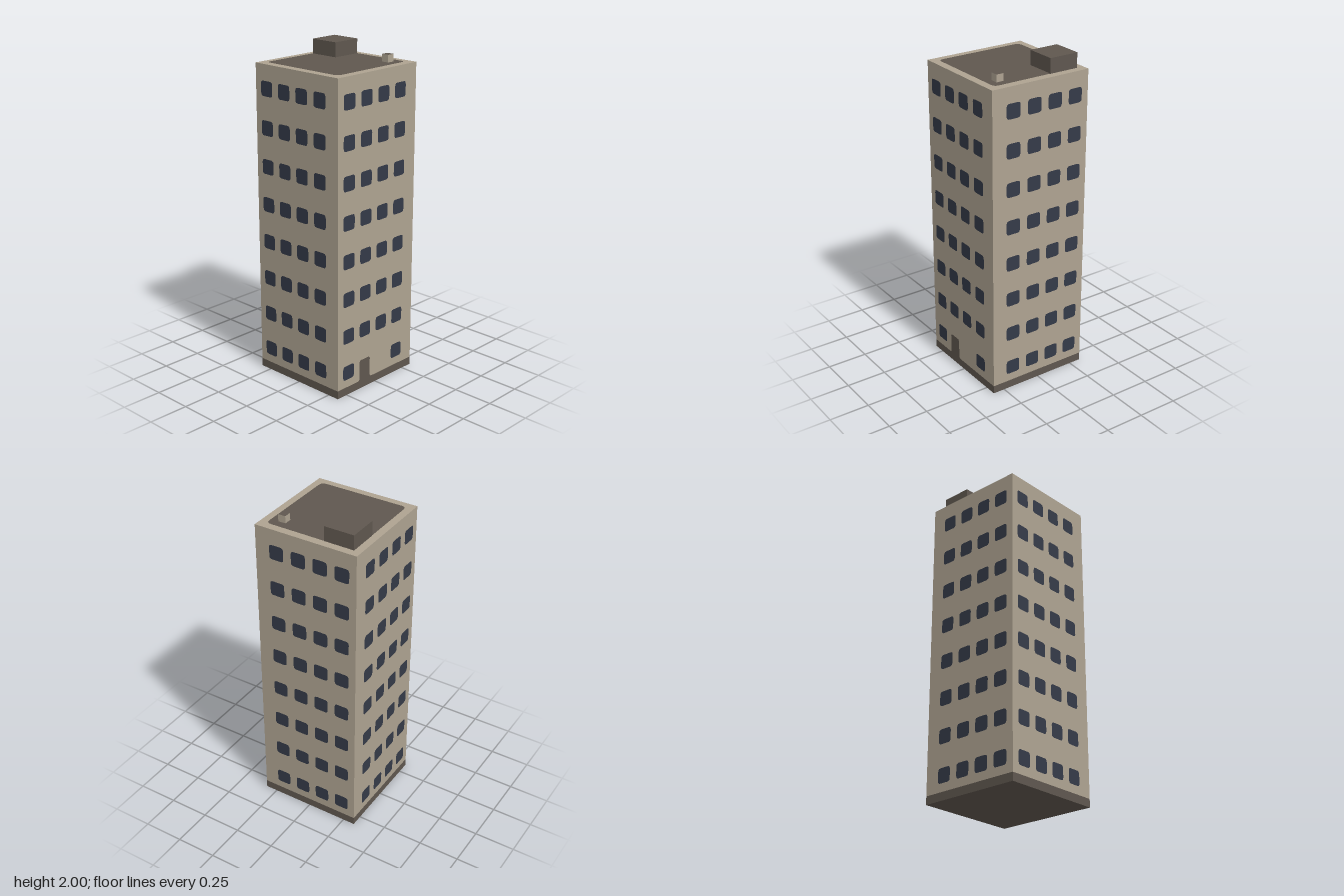
import * as THREE from 'three';

const HALF = 0.325, BASE = 0.05, TOP = 1.91, LIFT = 0.002;
const OFFSETS = [-0.235, -0.095, 0.045, 0.187];
const FLOORS = 8, FIRST = 0.145, STEP = 0.232;

const paint = (name, color) => {
  const m = new THREE.MeshStandardMaterial({ color });
  m.name = name;
  return m;
};

// Flat plate with small rounded corners, facing +z
function plate(w, h, r) {
  const x = w / 2, y = h / 2, s = new THREE.Shape();
  s.moveTo(-x + r, -y).lineTo(x - r, -y).quadraticCurveTo(x, -y, x, -y + r);
  s.lineTo(x, y - r).quadraticCurveTo(x, y, x - r, y);
  s.lineTo(-x + r, y).quadraticCurveTo(-x, y, -x, y - r);
  s.lineTo(-x, -y + r).quadraticCurveTo(-x, -y, -x + r, -y);
  return new THREE.ShapeGeometry(s, 3);
}

export function createModel() {
  const model = new THREE.Group();
  model.name = 'apartmentTower';
  const wall = paint('beigeWall', 0xaea391);
  const dark = paint('darkBrown', 0x5f574f);
  const glass = paint('navyGlass', 0x343a48);

  const add = (name, geometry, material, x, y, z, parent = model) => {
    const mesh = new THREE.Mesh(geometry, material);
    mesh.name = name;
    mesh.position.set(x, y, z);
    parent.add(mesh);
    return mesh;
  };
  const box = (name, w, h, d, material, x, bottom, z) =>
    add(name, new THREE.BoxGeometry(w, h, d), material, x, bottom + h / 2, z);

  // Plinth and tower
  box('plinth', HALF * 2, BASE, HALF * 2, dark, 0, 0, 0);
  box('walls', HALF * 2, TOP - BASE, HALF * 2, wall, 0, BASE, 0);

  // Windows on four sides; the front ground floor leaves room for the door
  const pane = plate(0.092, 0.09, 0.018);
  ['front', 'right', 'back', 'left'].forEach((side, i) => {
    const facade = new THREE.Group();
    facade.name = side + 'Windows';
    facade.rotation.y = i * Math.PI / 2;
    // Opposite sides share the same world offsets
    const flip = i === 1 || i === 2 ? -1 : 1;
    for (let floor = 0; floor < FLOORS; floor++) {
      OFFSETS.forEach((u, column) => {
        if (i === 0 && floor === 0 && (column === 1 || column === 2)) return;
        add('window', pane, glass, u * flip, FIRST + floor * STEP, HALF + LIFT, facade);
      });
    }
    model.add(facade);
  });

  // Entrance door with slightly flared foot
  const s = new THREE.Shape();
  s.moveTo(-0.055, 0).lineTo(0.055, 0).lineTo(0.045, 0.012).lineTo(0.045, 0.125);
  s.lineTo(0.036, 0.135).lineTo(-0.036, 0.135).lineTo(-0.045, 0.125).lineTo(-0.045, 0.012);
  add('door', new THREE.ShapeGeometry(s), dark, -0.095, BASE, HALF + LIFT);

  // Roof surface with rounded corners
  add('roof', plate(0.56, 0.56, 0.03), dark, 0, TOP + LIFT, 0).rotation.x = -Math.PI / 2;

  // Stair housing and small vent
  box('stairHousing', 0.186, 2 - TOP, 0.186, dark, 0.186, TOP, -0.187);
  const vent = box('vent', 0.047, 0.046, 0.047, wall, 0.209, TOP, 0.209);
  vent.material = [wall, wall, dark, wall, wall, wall];

  return model;
}
